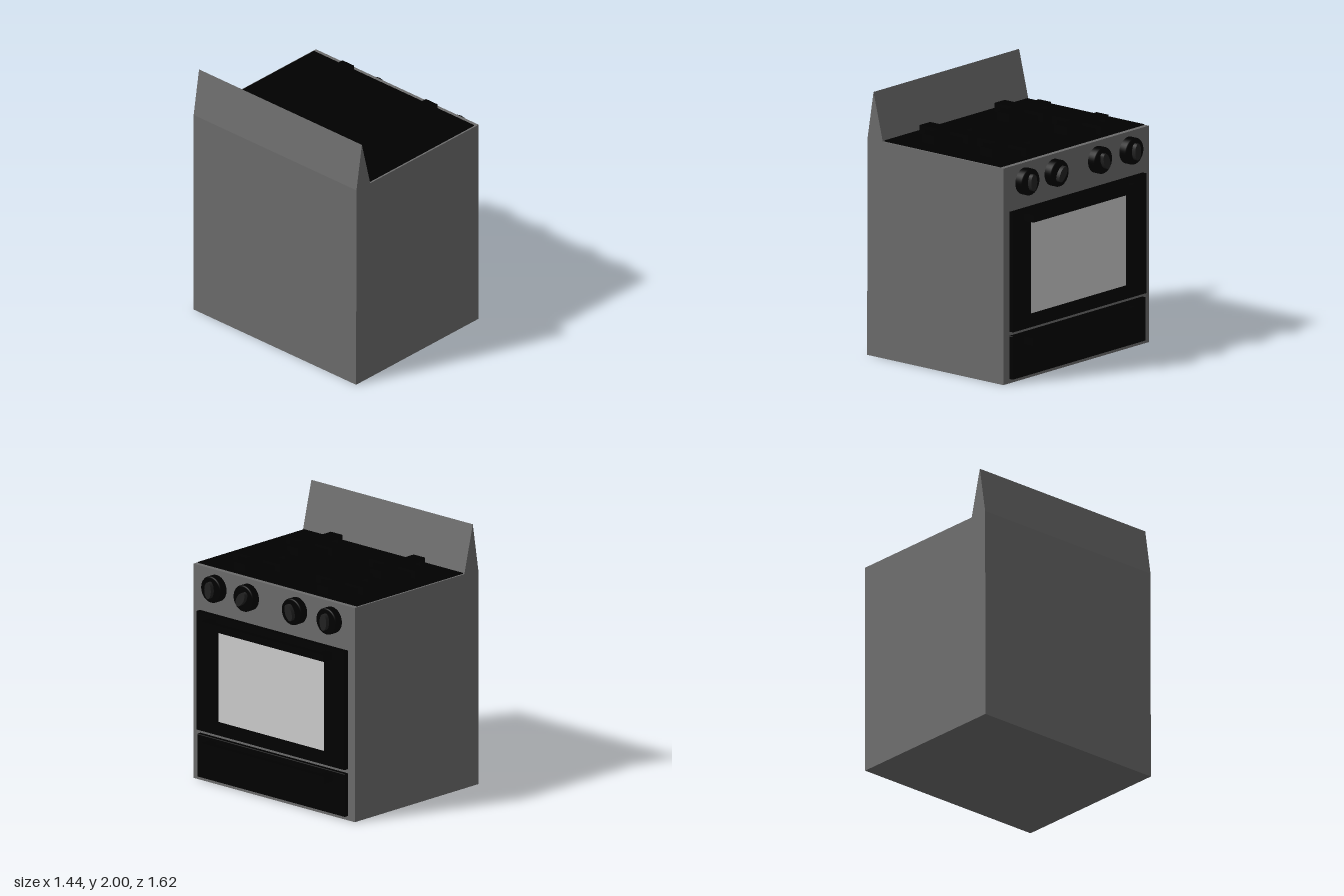
import * as THREE from 'three';
import { RoundedBoxGeometry } from 'three/addons/geometries/RoundedBoxGeometry.js';

const paint = (color) => new THREE.MeshStandardMaterial({ color });

export function createModel() {
  const model = new THREE.Group();
  const steel = paint(0x6b6b6b);
  const black = paint(0x000000);
  const gripBlack = paint(0x222222);
  const glass = paint(0xcccccc);

  function add(name, geometry, material, parent = model) {
    const mesh = new THREE.Mesh(geometry, material);
    mesh.name = name;
    parent.add(mesh);
    return mesh;
  }

  // Box given by its extents on each axis, optionally with softened edges
  function block(name, [x0, x1], [y0, y1], [z0, z1], material, parent = model, radius = 0) {
    const size = [x1 - x0, y1 - y0, z1 - z0];
    const geometry = radius
      ? new RoundedBoxGeometry(...size, 2, radius)
      : new THREE.BoxGeometry(...size);
    const mesh = add(name, geometry, material, parent);
    mesh.position.set((x0 + x1) / 2, (y0 + y1) / 2, (z0 + z1) / 2);
    return mesh;
  }

  const outline = (points) => points.map(([x, y]) => new THREE.Vector2(x, y));

  // Cabinet with the wedge-shaped splashback rising from its rear edge
  const side = new THREE.Shape(outline([
    [-0.722, 0], [0.597, 0], [0.597, 1.638], [-0.57, 1.638], [-0.66, 2], [-0.718, 1.64],
  ]));
  const body = add('bodyAndSplashback',
    new THREE.ExtrudeGeometry(side, { depth: 1.624, bevelEnabled: false }), steel);
  body.position.z = -0.812;

  // Cooktop plate
  block('cooktop', [-0.568, 0.56], [1.62, 1.646], [-0.798, 0.798], black);

  // Four cross-shaped pan supports, each arm ending in a leg
  for (const x of [-0.273, 0.287]) {
    for (const z of [-0.419, 0.414]) {
      const grate = new THREE.Group();
      grate.name = 'panSupport';
      grate.position.set(x, 1.646, z);
      model.add(grate);
      const reach = 0.235, half = 0.058, top = [0.04, 0.062], legY = [0, 0.04];
      block('crossBar', [-reach, reach], top, [-half, half], black, grate);
      for (const s of [-1, 1]) {
        const outer = [s * reach, s * (reach - 0.048)].sort((a, b) => a - b);
        const arm = [s * half, s * reach].sort((a, b) => a - b);
        block('sideArm', [-half, half], top, arm, black, grate);
        block('supportLeg', outer, legY, [-half, half], black, grate);
        block('supportLeg', [-half, half], legY, outer, black, grate);
      }
    }
  }

  // Oven door frame around a recessed window
  const frame = new THREE.Shape(outline([
    [-0.745, 0.391], [0.742, 0.391], [0.742, 1.298], [-0.745, 1.298],
  ]));
  frame.holes.push(new THREE.Path(outline([
    [-0.545, 0.487], [-0.545, 1.197], [0.537, 1.197], [0.537, 0.487],
  ])));
  const door = add('ovenDoor',
    new THREE.ExtrudeGeometry(frame, { depth: 0.043, bevelEnabled: false }), black);
  door.rotation.y = Math.PI / 2;
  door.position.x = 0.59;
  block('ovenWindow', [0.58, 0.613], [0.48, 1.205], [-0.545, 0.553], glass);

  // Storage drawer below the door
  block('drawer', [0.585, 0.63], [0.031, 0.36], [-0.742, 0.745], black, model, 0.006);

  // Bar handles on two stand-offs
  function handle(name, y, front) {
    const group = new THREE.Group();
    group.name = name;
    group.position.set(front, y, 0);
    model.add(group);
    block('handleBar', [-0.037, 0], [-0.027, 0.027], [-0.617, 0.617], black, group);
    for (const z of [-0.585, 0.585]) {
      block('handleMount', [-0.1, -0.02], [-0.027, 0.027], [z - 0.032, z + 0.032], black, group);
    }
  }
  handle('doorHandle', 1.239, 0.722);
  handle('drawerHandle', 0.307, 0.717);

  // Control knobs: round base with a softened rim and a turned oval grip
  const knobProfile = outline([[0.1, 0], [0.1, 0.06], [0.097, 0.067], [0.09, 0.07], [0, 0.07]]);
  const knobs = [[0.578, 0], [0.252, -0.6], [-0.233, 0.35], [-0.582, 0]];
  for (const [z, turn] of knobs) {
    const knob = new THREE.Group();
    knob.name = 'knob';
    knob.position.set(0.592, 1.5, z);
    knob.rotation.x = turn;
    model.add(knob);
    const base = add('knobBase', new THREE.LatheGeometry(knobProfile, 40), black, knob);
    base.rotation.z = -Math.PI / 2;
    const grip = add('knobGrip', new THREE.CylinderGeometry(1, 1, 0.044, 32), gripBlack, knob);
    grip.rotation.z = -Math.PI / 2;
    grip.scale.set(0.063, 1, 0.033);
    grip.position.x = 0.08;
  }

  return model;
}
